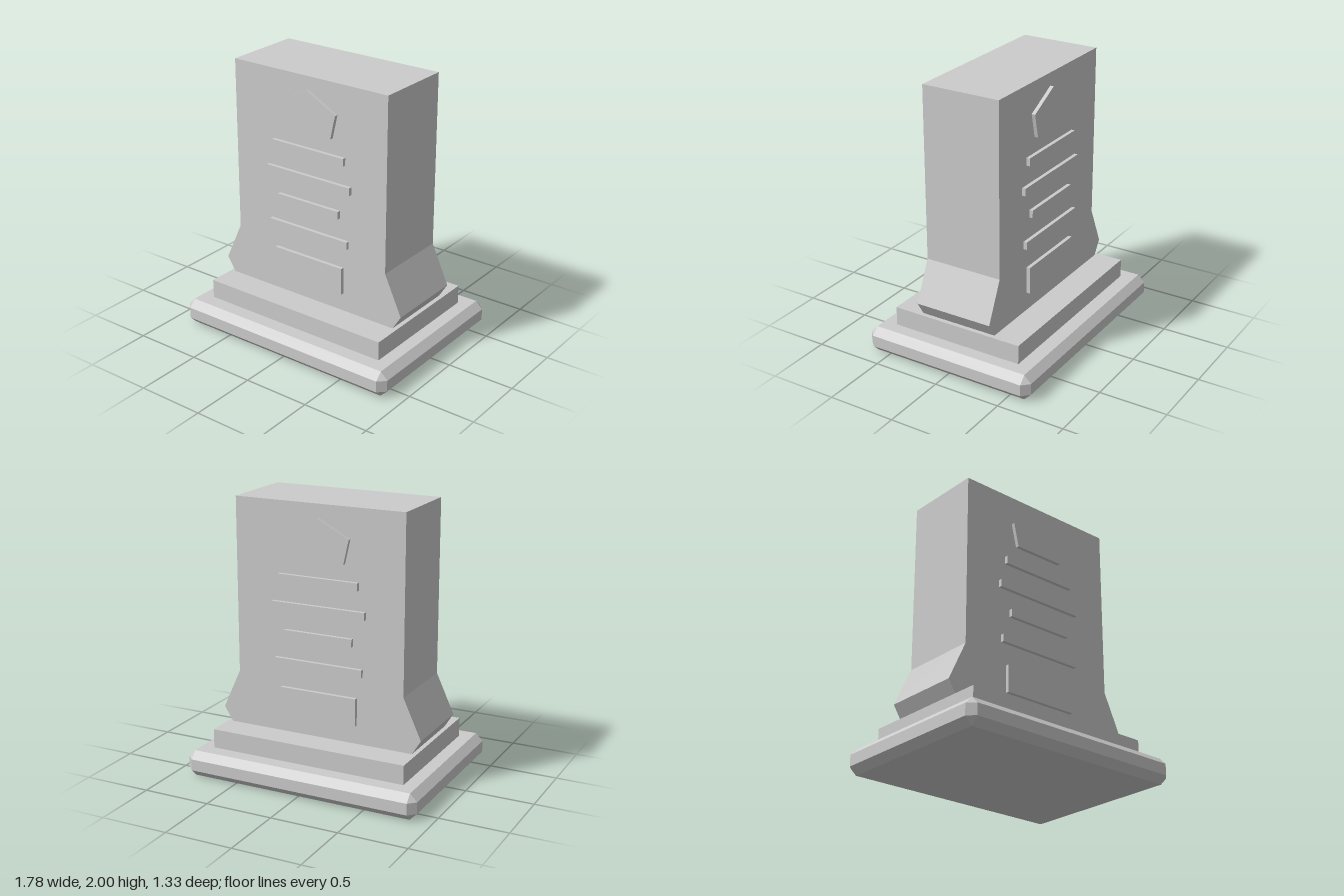
import * as THREE from 'three';
import { ConvexGeometry } from 'three/addons/geometries/ConvexGeometry.js';

const material = new THREE.MeshStandardMaterial({ color: 0xcccccc, flatShading: true });

function add(parent, name, geometry, x = 0, y = 0, z = 0) {
  const mesh = new THREE.Mesh(geometry, material);
  mesh.name = name;
  mesh.position.set(x, y, z);
  parent.add(mesh);
  return mesh;
}

// Box with every edge and corner cut off by c
function chamferedBox(w, h, d, c) {
  const points = [];
  for (const sx of [-1, 1]) for (const sy of [-1, 1]) for (const sz of [-1, 1]) {
    const x = w / 2, y = h / 2, z = d / 2;
    points.push(
      new THREE.Vector3(sx * x, sy * (y - c), sz * (z - c)),
      new THREE.Vector3(sx * (x - c), sy * y, sz * (z - c)),
      new THREE.Vector3(sx * (x - c), sy * (y - c), sz * z));
  }
  return new ConvexGeometry(points);
}

// Outline given by its right half from top to bottom, mirrored and extruded
function symmetricPrism(half, depth) {
  const mirrored = half.filter(([x]) => x > 0).map(([x, y]) => [-x, y]);
  const outline = [...mirrored, ...half.slice().reverse()];
  const shape = new THREE.Shape(outline.map(([x, y]) => new THREE.Vector2(x, y)));
  return new THREE.ExtrudeGeometry(shape, { depth, bevelEnabled: false });
}

export function createModel() {
  const model = new THREE.Group();
  model.name = 'monument';

  // Stepped base
  add(model, 'base', chamferedBox(1.784, 0.19, 1.326, 0.053), 0, 0.095, 0);
  add(model, 'plinth', new THREE.BoxGeometry(1.49, 0.14, 1.01), 0, 0.26, 0);

  // Upright slab with flared foot
  const slabHalf = [[0.643, 2], [0.643, 0.727], [0.777, 0.435], [0.712, 0.33]];
  add(model, 'slab', symmetricPrism(slabHalf, 0.59), 0, 0, -0.295);

  // Raised reliefs, the same on front and back
  const bars = [[0.305, 1.463], [0.357, 1.263], [0.262, 1.064], [0.337, 0.854]];
  const pentagon = [[0, 1.907], [0.24, 1.78], [0.2, 1.605]];
  for (const [name, turn] of [['frontRelief', 0], ['backRelief', Math.PI]]) {
    const relief = new THREE.Group();
    relief.name = name;
    relief.rotation.y = turn;
    add(relief, 'pentagonEmblem', symmetricPrism(pentagon, 0.04), 0, 0, 0.282);
    for (const [halfWidth, y] of bars) {
      add(relief, 'bar', new THREE.BoxGeometry(halfWidth * 2, 0.056, 0.04), 0, y, 0.302);
    }
    add(relief, 'lowerPanel', new THREE.BoxGeometry(0.586, 0.2, 0.04), 0, 0.567, 0.302);
    model.add(relief);
  }
  return model;
}
